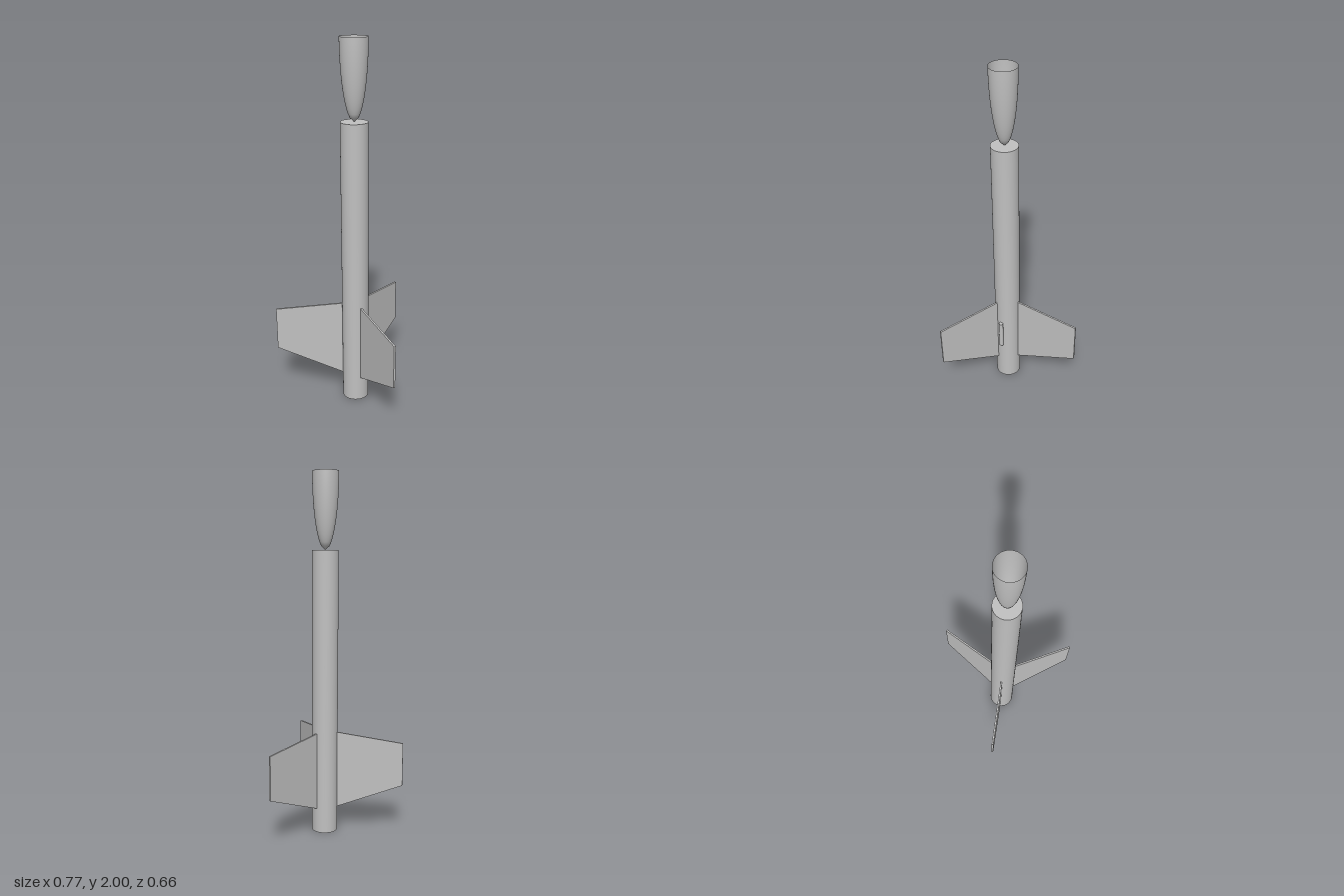
import * as THREE from 'three';

const RADIUS = 0.072, BODY_TOP = 1.585, TOP = 2, AXIS_Z = 0.107;

export function createModel() {
  const grey = new THREE.MeshStandardMaterial({ color: 0xc0c0c0, side: THREE.DoubleSide });
  grey.name = 'light grey';

  const model = new THREE.Group();
  model.name = 'rocket';
  const add = (name, geometry) => {
    const mesh = new THREE.Mesh(geometry, grey);
    mesh.name = name;
    mesh.position.z = AXIS_Z;
    model.add(mesh);
    return mesh;
  };

  // Body tube, closed at both ends
  add('bodyTube', new THREE.CylinderGeometry(RADIUS, RADIUS, BODY_TOP, 64)).position.y = BODY_TOP / 2;

  // Hollow elliptical nose cone, tip resting on the body and open at the top
  const steps = 20, profile = [];
  for (let i = 0; i <= steps; i++) {
    const t = i / steps;
    profile.push(new THREE.Vector2(
      RADIUS * Math.sqrt(1 - (1 - t) ** 2),
      BODY_TOP + t * (TOP - BODY_TOP)
    ));
  }
  add('noseCone', new THREE.LatheGeometry(profile, 64));

  // Three swept fins: one straight back, two towards the front
  const thickness = 0.01;
  const outline = new THREE.Shape([
    new THREE.Vector2(0.07, 0.138),
    new THREE.Vector2(0.44, 0.288),
    new THREE.Vector2(0.44, 0.53),
    new THREE.Vector2(0.07, 0.575)
  ]);
  const finGeometry = new THREE.ExtrudeGeometry(outline, { depth: thickness, bevelEnabled: false });
  finGeometry.translate(0, 0, -thickness / 2);
  ['backFin', 'leftFin', 'rightFin'].forEach((name, i) => {
    add(name, finGeometry).rotation.y = Math.PI / 2 - i * Math.PI * 2 / 3;
  });

  // Launch lug on the left side
  add('launchLug', new THREE.CylinderGeometry(0.0125, 0.0125, 0.17, 24)).position.set(0.081, 0.354, AXIS_Z);

  return model;
}
